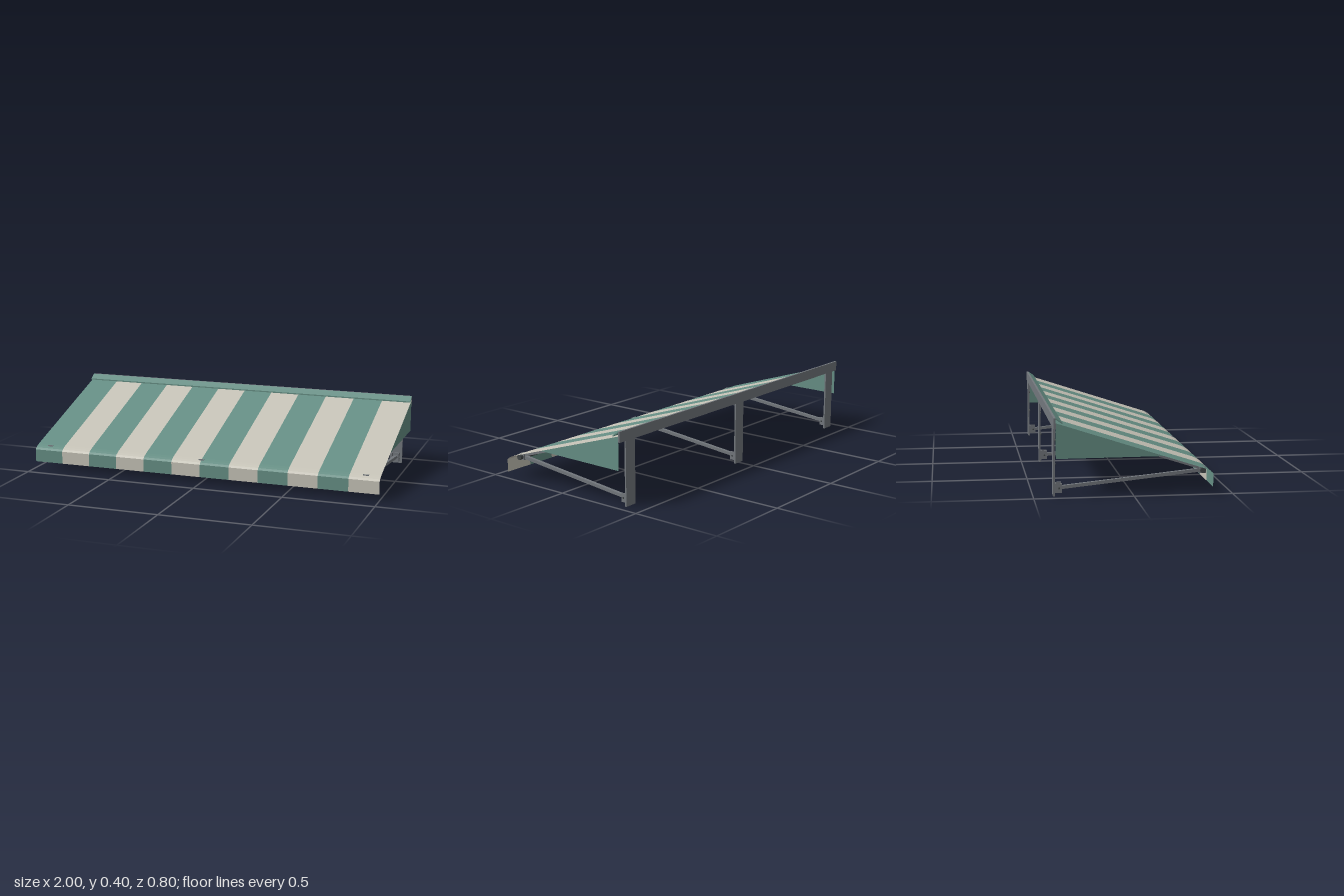
import * as THREE from 'three';

const mat = (name, color, side = THREE.FrontSide) => {
  const m = new THREE.MeshStandardMaterial({ color, side });
  m.name = name;
  return m;
};

export function createModel() {
  const green = mat('green canvas', 0x668f85, THREE.DoubleSide);
  const cream = mat('cream canvas', 0xc6c3b7, THREE.DoubleSide);
  const steel = mat('grey steel', 0x73787d);
  const dark = mat('dark metal', 0x43484a);

  const awning = new THREE.Group();
  awning.name = 'awning';

  const add = (name, geometry, material, x = 0, y = 0, z = 0) => {
    const mesh = new THREE.Mesh(geometry, material);
    mesh.name = name;
    mesh.position.set(x, y, z);
    awning.add(mesh);
    return mesh;
  };
  const box = (name, w, h, d, material, x, y, z) =>
    add(name, new THREE.BoxGeometry(w, h, d), material, x, y, z);

  // Rod along x
  const rod = (name, r, length, material, x, y, z, sides = 16) => {
    const g = new THREE.CylinderGeometry(r, r, length, sides).rotateZ(Math.PI / 2);
    return add(name, g, material, x, y, z);
  };

  // Square bar between two [z, y] points, at a given x
  const bar = (name, x, [z0, y0], [z1, y1], w, h) => {
    const m = box(name, w, h, Math.hypot(z1 - z0, y1 - y0), steel, x, (y0 + y1) / 2, (z0 + z1) / 2);
    m.rotation.x = -Math.atan2(y1 - y0, z1 - z0);
    return m;
  };

  // Sheet swept along x from a [z, y] profile
  const sheet = (name, profile, x0, x1, material) => {
    const pos = [];
    for (let i = 0; i < profile.length - 1; i++) {
      const [za, ya] = profile[i], [zb, yb] = profile[i + 1];
      pos.push(x0, ya, za, x0, yb, zb, x1, yb, zb, x0, ya, za, x1, yb, zb, x1, ya, za);
    }
    const g = new THREE.BufferGeometry();
    g.setAttribute('position', new THREE.Float32BufferAttribute(pos, 3));
    g.computeVertexNormals();
    return add(name, g, material);
  };

  // Striped canopy with rounded front edge and hanging valance
  const roof = [[-0.39, 0.375], [0.36, 0.131], [0.376, 0.124], [0.39, 0.116], [0.4, 0.106], [0.4, 0.036]];
  const stripes = 12;
  for (let i = 0; i < stripes; i++) {
    const x0 = -1 + (2 * i) / stripes;
    sheet('canopyStripe', roof, x0, x0 + 2 / stripes, i % 2 ? cream : green);
  }

  // Triangular side panels
  for (const s of [-1, 1]) {
    const shape = new THREE.Shape();
    shape.moveTo(0.39, 0.375);
    shape.lineTo(0.39, 0.197);
    shape.lineTo(-0.15, 0.199);
    const g = new THREE.ShapeGeometry(shape).rotateY(Math.PI / 2);
    add('sidePanel', g, green, s * 0.999);
  }

  // Wall rail and sloping flashing above the canopy
  box('wallRail', 2, 0.056, 0.011, steel, 0, 0.372, -0.3945);
  const flash = new THREE.Shape();
  [[0.389, 0.4], [0.355, 0.376], [0.355, 0.369], [0.389, 0.392]].forEach(([u, v], i) =>
    i ? flash.lineTo(u, v) : flash.moveTo(u, v));
  const flashing = new THREE.ExtrudeGeometry(flash, { depth: 2, bevelEnabled: false });
  add('flashing', flashing.rotateY(Math.PI / 2), green, -1);

  // Round front bar and purlin under the canopy
  rod('frontBar', 0.0135, 1.9, dark, 0, 0.113, 0.358);
  rod('purlin', 0.008, 1.86, steel, 0, 0.23, 0);

  // Rafters with their wall plates
  for (const x of [-0.92, -0.46, 0, 0.46, 0.92]) {
    bar('rafter', x, [-0.388, 0.363], [0.355, 0.1215], 0.018, 0.018);
  }

  // Posts, brackets, support arms and clamps
  for (const x of [-0.92, 0, 0.92]) {
    box('wallPost', 0.07, 0.345, 0.009, steel, x, 0.1725, -0.3955);
    bar('supportArm', x, [-0.37, 0.038], [0.355, 0.111], 0.018, 0.017);
    box('bracketBack', 0.044, 0.048, 0.006, steel, x, 0.0385, -0.388);
    for (const s of [-1, 1]) {
      box('bracketCheek', 0.005, 0.048, 0.034, steel, x + s * 0.0195, 0.0385, -0.372);
      for (const y of [0.16, 0.28]) {
        const bolt = new THREE.CylinderGeometry(0.006, 0.006, 0.005, 8).rotateX(Math.PI / 2);
        add('postBolt', bolt, dark, x + s * 0.018, y, -0.3885);
      }
    }
    rod('bracketPin', 0.005, 0.05, dark, x, 0.038, -0.369, 10);
    box('rafterPlate', 0.04, 0.05, 0.004, steel, x, 0.318, -0.389);
    box('barClamp', 0.032, 0.033, 0.034, steel, x, 0.1125, 0.358);
  }

  // End caps on the front bar
  for (const s of [-1, 1]) rod('barCap', 0.0145, 0.008, dark, s * 0.952, 0.113, 0.358);

  return awning;
}
